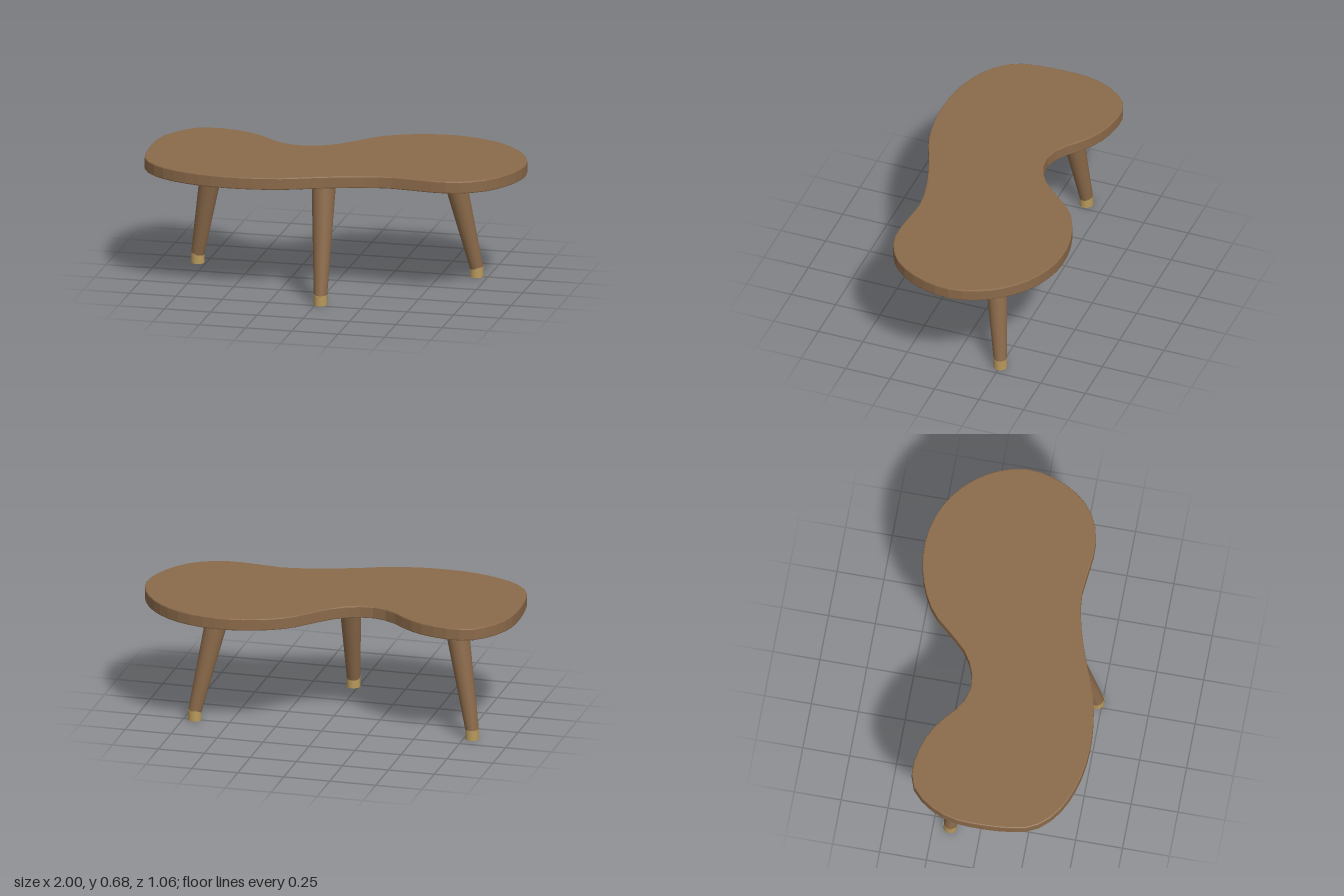
import * as THREE from 'three';

const TOP = 0.68, UNDERSIDE = 0.614, BEVEL = 0.006;

// Free-form table outline as (x, z) points
const OUTLINE = [
  [-1, -0.02], [-0.99, 0.19], [-0.96, 0.31], [-0.86, 0.42], [-0.68, 0.5], [-0.46, 0.527],
  [-0.2, 0.495], [0, 0.42], [0.18, 0.362], [0.36, 0.33], [0.5, 0.343], [0.62, 0.352],
  [0.73, 0.338], [0.86, 0.265], [0.95, 0.14], [1, -0.04], [0.98, -0.18], [0.9, -0.33],
  [0.77, -0.45], [0.62, -0.515], [0.46, -0.532], [0.29, -0.5], [0.13, -0.42], [0.02, -0.3],
  [-0.07, -0.21], [-0.18, -0.157], [-0.28, -0.153], [-0.37, -0.195], [-0.48, -0.285],
  [-0.6, -0.345], [-0.76, -0.37], [-0.85, -0.345], [-0.93, -0.26], [-0.985, -0.14],
];

// Each leg: centre of its upper end under the top, and of its foot on the floor
const LEGS = [
  { name: 'frontLeg', top: [0.01, 0.34], foot: [0.025, 0.475] },
  { name: 'leftLeg', top: [0.57, -0.175], foot: [0.69, -0.25] },
  { name: 'rightLeg', top: [-0.69, -0.1], foot: [-0.795, -0.16] },
];

export function createModel() {
  const wood = new THREE.MeshStandardMaterial({ name: 'wood', color: 0x8b6a4a });
  const brass = new THREE.MeshStandardMaterial({ name: 'brass', color: 0xb8995c });
  const table = new THREE.Group();
  table.name = 'table';

  // Table top: faceted rim with a fine bevel
  const curve = new THREE.CatmullRomCurve3(
    OUTLINE.map(([x, z]) => new THREE.Vector3(x, z, 0)), true);
  const rim = curve.getSpacedPoints(72).slice(0, -1).map(p => new THREE.Vector2(p.x, p.y));
  const slab = new THREE.ExtrudeGeometry(new THREE.Shape(rim), {
    depth: TOP - UNDERSIDE - 2 * BEVEL,
    bevelThickness: BEVEL, bevelSize: BEVEL, bevelOffset: -BEVEL, bevelSegments: 2,
  });
  slab.rotateX(Math.PI / 2);
  const tableTop = new THREE.Mesh(slab, wood);
  tableTop.name = 'tableTop';
  tableTop.position.y = TOP - BEVEL;
  table.add(tableTop);

  // Splayed, tapered legs with upright ferrules
  for (const { name, top, foot } of LEGS) {
    const group = new THREE.Group();
    group.name = name;
    const upper = new THREE.Vector3(top[0], UNDERSIDE + 0.01, top[1]);
    const lower = new THREE.Vector3(foot[0], 0.045, foot[1]);
    const axis = upper.clone().sub(lower);

    const shaft = new THREE.Mesh(
      new THREE.CylinderGeometry(0.064, 0.035, axis.length(), 24), wood);
    shaft.name = 'shaft';
    shaft.position.copy(lower).addScaledVector(axis, 0.5);
    shaft.quaternion.setFromUnitVectors(new THREE.Vector3(0, 1, 0), axis.normalize());

    const ferrule = new THREE.Mesh(new THREE.CylinderGeometry(0.036, 0.036, 0.055, 24), brass);
    ferrule.name = 'ferrule';
    ferrule.position.set(foot[0], 0.0275, foot[1]);

    group.add(shaft, ferrule);
    table.add(group);
  }
  return table;
}
